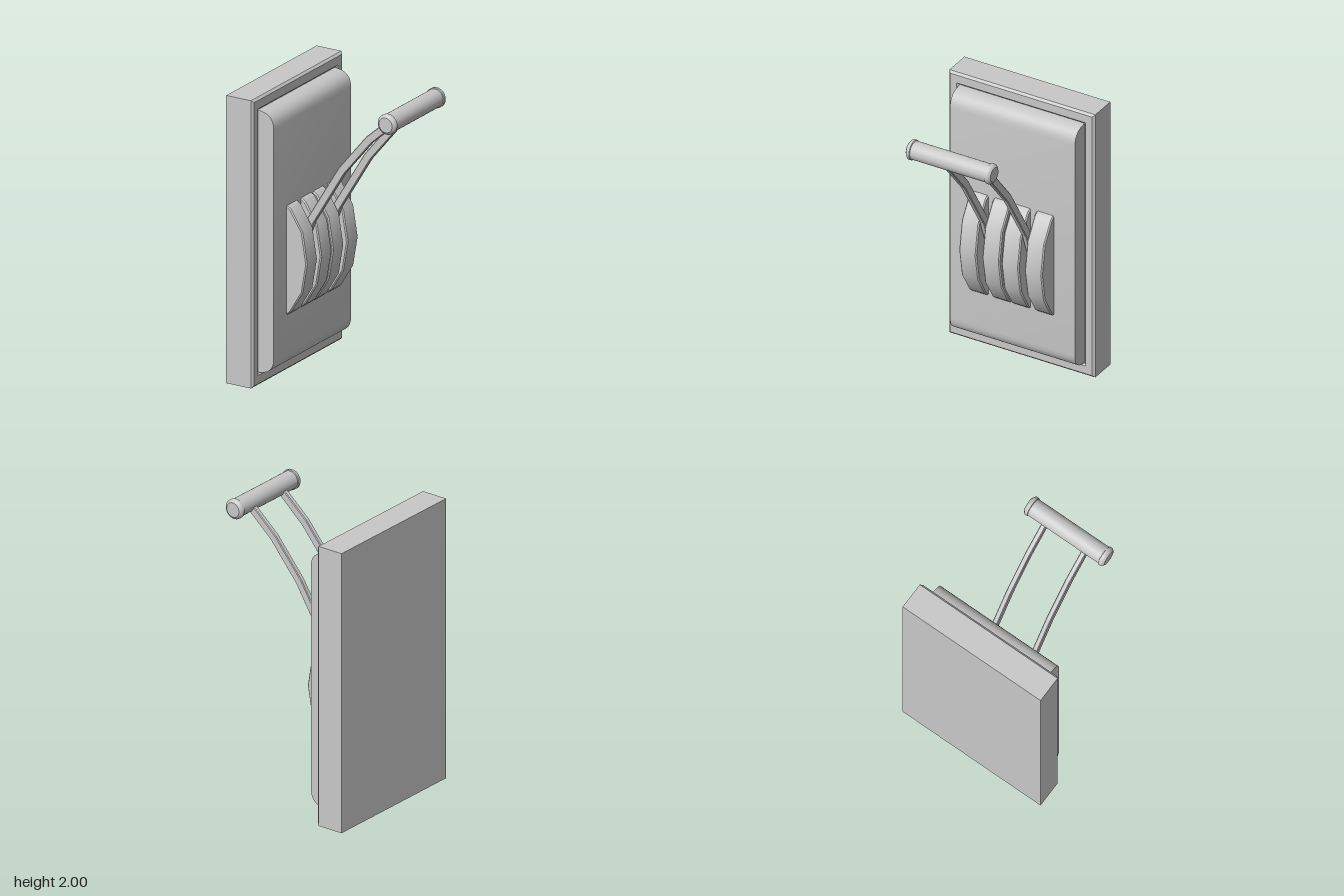
import * as THREE from 'three';
import { toCreasedNormals } from 'three/addons/utils/BufferGeometryUtils.js';

const toShape = (pts) => new THREE.Shape(pts.map(([x, y]) => new THREE.Vector2(x, y)));
const rectangle = (w, h) => [[-w, -h], [w, -h], [w, h], [-w, h]];

// Extrudes a shape along z, centred on z = 0, with a chamfer inside its outline
function extrude(shape, depth, bevel) {
  const geo = new THREE.ExtrudeGeometry(shape, {
    depth: depth - 2 * bevel, steps: 1, curveSegments: 6,
    bevelEnabled: bevel > 0, bevelThickness: bevel, bevelSize: bevel,
    bevelOffset: -bevel, bevelSegments: 1,
  });
  geo.translate(0, 0, -(depth - 2 * bevel) / 2);
  return geo;
}

export function createModel() {
  const model = new THREE.Group();
  model.name = 'wallLever';
  const grey = new THREE.MeshStandardMaterial({ color: 0xc8c8c8 });
  grey.name = 'plain grey';

  function add(name, geo, x = 0, y = 0, z = 0) {
    const mesh = new THREE.Mesh(geo, grey);
    mesh.name = name;
    mesh.position.set(x, y, z);
    model.add(mesh);
    return mesh;
  }

  // Wall plate with a chamfered frame around the panel
  add('wallPlate', new THREE.BoxGeometry(0.17, 2, 1.11), -0.49, 1, 0);
  const frame = toShape(rectangle(0.555, 1));
  frame.holes.push(new THREE.Path(rectangle(0.476, 0.911).reverse().map(([x, y]) => new THREE.Vector2(x, y))));
  add('plateFrame', extrude(frame, 0.05, 0.015).rotateY(Math.PI / 2), -0.395, 1, 0);

  // Raised panel, rounded along its top and bottom edges
  const panel = new THREE.Shape();
  panel.moveTo(-0.41, 0.09);
  panel.lineTo(-0.37, 0.09);
  panel.bezierCurveTo(-0.3, 0.095, -0.26, 0.13, -0.26, 0.2);
  panel.lineTo(-0.26, 1.8);
  panel.bezierCurveTo(-0.26, 1.87, -0.3, 1.905, -0.37, 1.91);
  panel.lineTo(-0.41, 1.91);
  add('raisedPanel', toCreasedNormals(extrude(panel, 0.95, 0), 0.6));

  // Four curved ribs with slots between them
  const rib = toShape([
    [-0.29, 0.46], [-0.26, 0.46], [-0.23, 0.485], [-0.14, 0.635], [-0.105, 0.84],
    [-0.14, 1.055], [-0.23, 1.2], [-0.26, 1.22], [-0.29, 1.22],
  ]);
  const ribGeo = toCreasedNormals(extrude(rib, 0.132, 0.008), 0.6);
  for (const z of [-0.25, -0.073, 0.073, 0.25]) add('slotRib', ribGeo, 0, 0, z);

  // Two bent arms, mitred at each knee
  const path = [[-0.3, 0.72], [-0.165, 1.09], [0.075, 1.485], [0.285, 1.74], [0.505, 1.933]]
    .map(([x, y]) => new THREE.Vector2(x, y));
  const side = (sign) => path.map((p, i) => {
    const a = path[Math.max(i - 1, 0)], b = path[Math.min(i + 1, path.length - 1)];
    const t = b.clone().sub(a).normalize().multiplyScalar(0.028 * sign);
    return [p.x + t.y, p.y - t.x];
  });
  const armGeo = extrude(toShape([...side(1), ...side(-1).reverse()]), 0.036, 0.005);
  for (const z of [-0.161, 0.161]) add('leverArm', armGeo, 0, 0, z);

  // Round grip with collars and chamfered ends
  const half = [[0.051, 0.322], [0.068, 0.309], [0.07, 0.305], [0.07, 0.287], [0.064, 0.284]];
  const profile = [
    [0, -0.322], ...half.map(([r, h]) => [r, -h]), ...half.slice().reverse(), [0, 0.322],
  ].map(([r, h]) => new THREE.Vector2(r, h));
  const grip = new THREE.LatheGeometry(profile, 28).rotateX(Math.PI / 2);
  add('grip', toCreasedNormals(grip, 0.5), 0.505, 1.93, 0);

  return model;
}
